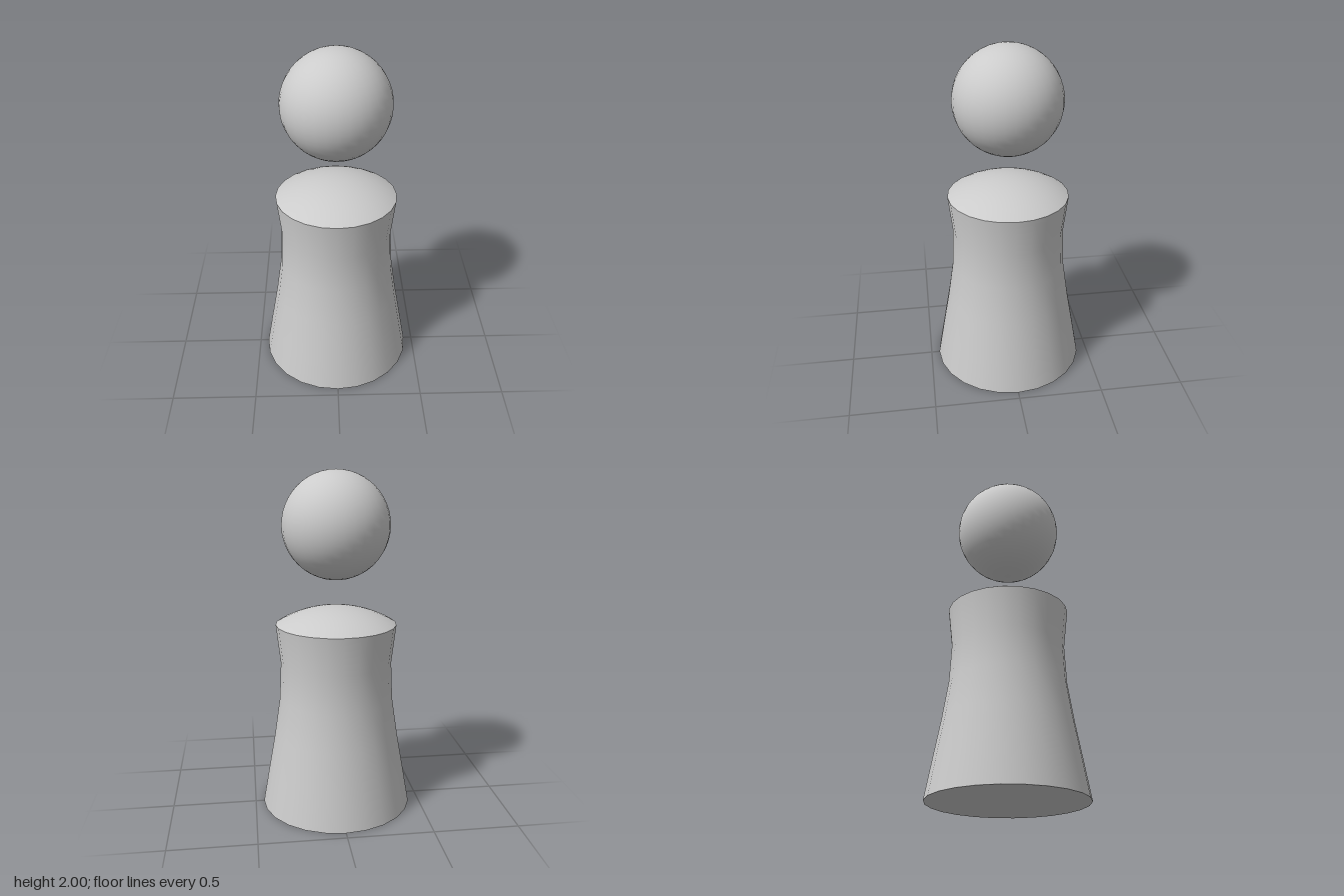
import * as THREE from 'three';

const SIDES = 24;

export function createModel() {
  const model = new THREE.Group();
  const material = new THREE.MeshStandardMaterial({ color: 0xcccccc });

  function add(name, geometry, y = 0) {
    const mesh = new THREE.Mesh(geometry, material);
    mesh.name = name;
    mesh.position.y = y;
    model.add(mesh);
  }

  // Flared body with a soft waist below the shoulders
  const profile = [
    [0.45, 0], [0.411, 0.223], [0.371, 0.447], [0.338, 0.67], [0.328, 0.893], [0.354, 1.12],
  ].map(([r, y]) => new THREE.Vector2(r, y));
  add('body', new THREE.LatheGeometry(profile, SIDES));

  // Flat underside
  const base = new THREE.CircleGeometry(0.45, SIDES);
  base.rotateX(Math.PI / 2);
  add('base', base);

  // Shallow spherical cap closing the shoulders
  const rim = 0.354, rise = 0.1;
  const radius = (rim * rim + rise * rise) / (2 * rise);
  const dome = new THREE.SphereGeometry(radius, SIDES, 8, 0, Math.PI * 2, 0, Math.asin(rim / radius));
  add('shoulderDome', dome, 1.12 + rise - radius);

  // Ball head floating above the body
  add('head', new THREE.SphereGeometry(0.31, 32, 24), 1.69);

  return model;
}
